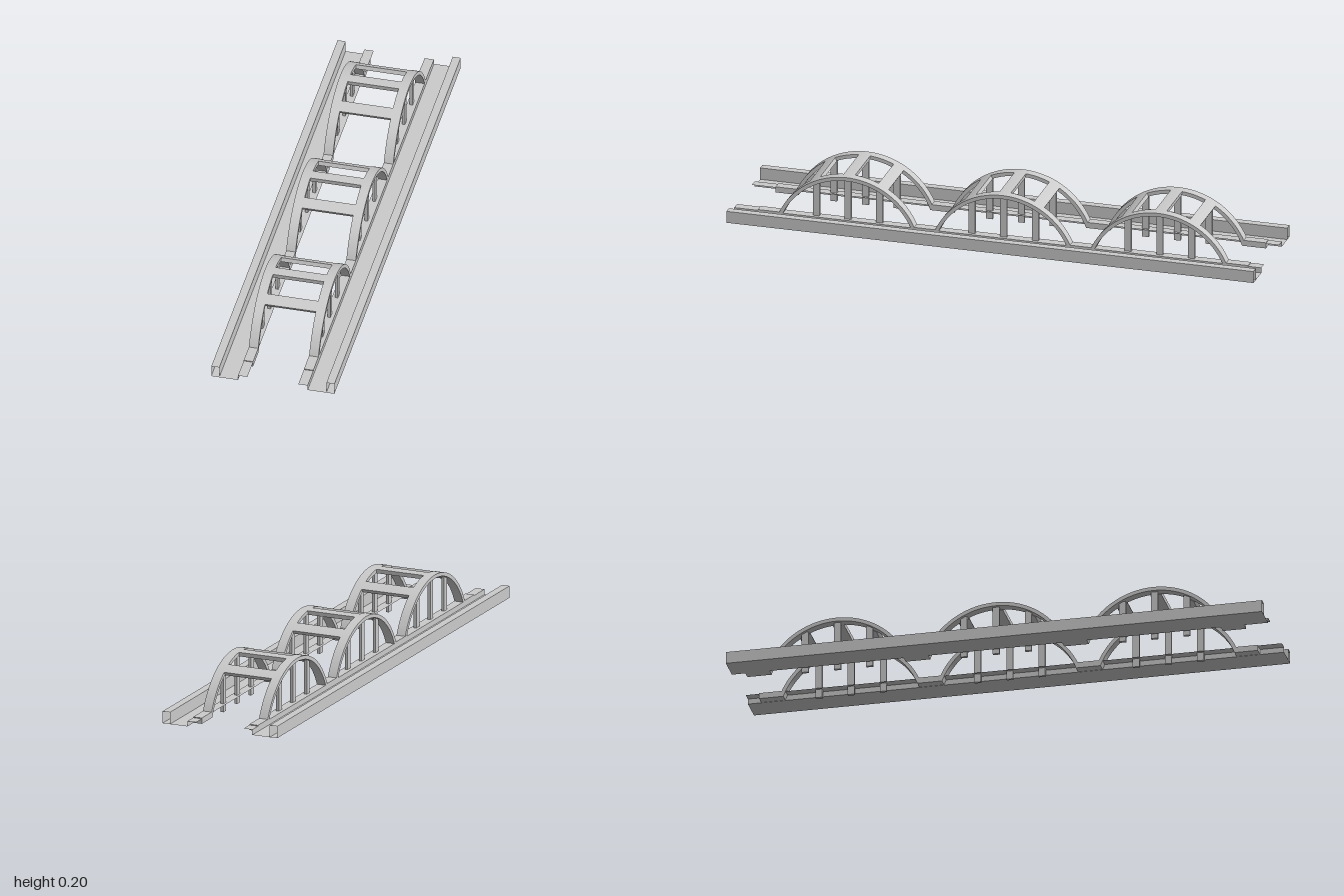
import * as THREE from 'three';
import { toCreasedNormals } from 'three/addons/utils/BufferGeometryUtils.js';

const grey = new THREE.MeshStandardMaterial({ color: 0xcccccc });
const sheet = new THREE.MeshStandardMaterial({ color: 0xcccccc, side: THREE.DoubleSide });

const CY = -0.081;             // height of the arch circle's centre
const R_OUT = 0.281, R_IN = 0.267;
const BASE = 0.013;            // underside of the arch frames
const ARCHES = [0.573, -0.018, -0.61];
const FRAME_X = 0.1125, FRAME_W = 0.035;

// Ring sector drawn in (z, y), extruded along x and centred on x = 0
function sector(rIn, rOut, a0, a1, b0, b1, width) {
  const s = new THREE.Shape();
  s.absarc(0, CY, rOut, a0, a1, false);
  s.absarc(0, CY, rIn, b1, b0, true);
  s.closePath();
  const g = new THREE.ExtrudeGeometry(s, { depth: width, bevelEnabled: false, curveSegments: 32 });
  g.translate(0, 0, -width / 2).rotateY(-Math.PI / 2);
  return toCreasedNormals(g, 0.5);
}

// Folded sheet running the full length, from an (x, y) profile
function foldedSheet(points, side) {
  const pos = [];
  for (let i = 0; i < points.length - 1; i++) {
    const [x0, y0] = points[i], [x1, y1] = points[i + 1];
    const a = [side * x0, y0, 1], b = [side * x1, y1, 1];
    const c = [side * x1, y1, -1], d = [side * x0, y0, -1];
    const quad = side > 0 ? [a, b, c, a, c, d] : [a, c, b, a, d, c];
    pos.push(...quad.flat());
  }
  const g = new THREE.BufferGeometry();
  g.setAttribute('position', new THREE.Float32BufferAttribute(pos, 3));
  g.computeVertexNormals();
  return g;
}

function add(parent, name, geometry, material, x = 0, y = 0, z = 0) {
  const m = new THREE.Mesh(geometry, material);
  m.name = name;
  m.position.set(x, y, z);
  parent.add(m);
  return m;
}

function box(parent, name, x, y0, y1, z0, z1, w) {
  add(parent, name, new THREE.BoxGeometry(w, y1 - y0, z1 - z0), grey, x, (y0 + y1) / 2, (z0 + z1) / 2);
}

export function createModel() {
  const model = new THREE.Group();
  model.name = 'archBridge';

  // Ledge, channel floor and hollow outer rail
  const profile = [[0.095, 0.032], [0.13, 0.032], [0.13, 0.012], [0.23, 0.012],
    [0.23, 0.057], [0.2, 0.057], [0.2, 0.012]];

  // Arch with both feet cut level at the base
  const footAngle = (r) => Math.asin((BASE - CY) / r);
  const ao = footAngle(R_OUT), ai = footAngle(R_IN);
  const archGeo = sector(R_IN, R_OUT, ao, Math.PI - ao, ai, Math.PI - ai, FRAME_W);

  // Cross braces are short pieces of the same ring
  const half = 0.077;
  const braceGeos = [-0.482, 0, 0.482].map((t) => {
    const a0 = Math.PI / 2 + t - half, a1 = Math.PI / 2 + t + half;
    return sector(0.2655, R_OUT, a0, a1, a0, a1, 0.19);
  });

  for (const side of [1, -1]) {
    const name = side > 0 ? 'left' : 'right';
    const x = side * FRAME_X;
    const half = new THREE.Group();
    half.name = name + 'Side';
    model.add(half);
    add(half, name + 'Deck', foldedSheet(profile, side), sheet);

    for (const z of ARCHES) {
      add(half, name + 'Arch', archGeo, grey, x, 0, z);
      // Hangers reach from the arch to just below the deck
      for (const dz of [-0.12, 0, 0.12]) {
        box(half, name + 'Hanger', side * 0.1115, 0, dz ? 0.16 : 0.19, z + dz - 0.0125, z + dz + 0.0125, 0.011);
      }
    }

    // Flat footings between the arches and at both ends
    const footings = [[ARCHES[0] + 0.25, 0.91], [ARCHES[1] + 0.25, ARCHES[0] - 0.25],
      [ARCHES[2] + 0.25, ARCHES[1] - 0.25], [-0.95, ARCHES[2] - 0.25]];
    for (const [z0, z1] of footings) box(half, name + 'Footing', x, BASE, 0.035, z0, z1, FRAME_W);
  }

  for (const z of ARCHES) {
    for (const g of braceGeos) add(model, 'crossBrace', g, grey, 0, 0, z);
  }
  return model;
}
